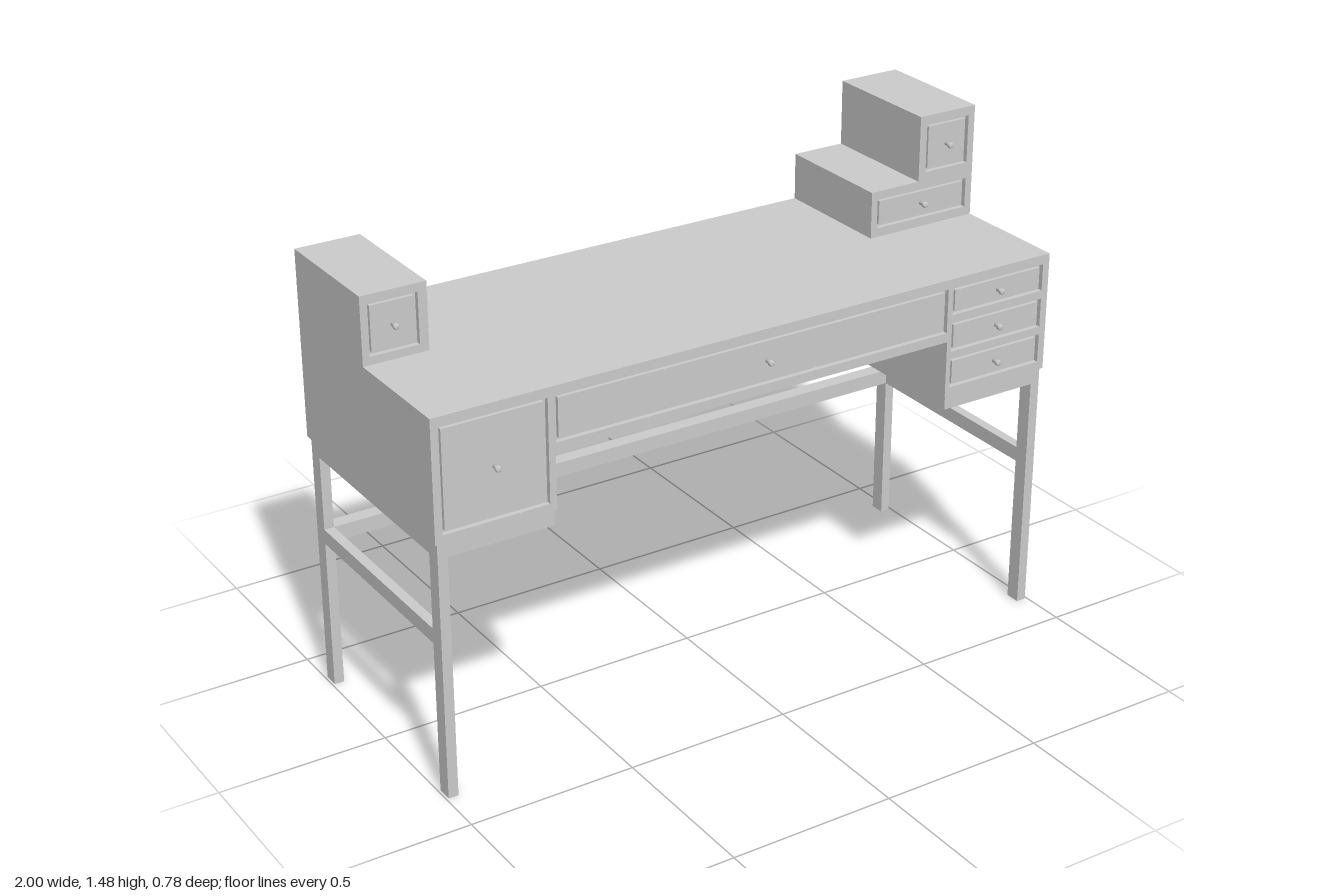
import * as THREE from 'three';

const mat = new THREE.MeshStandardMaterial({ color: 0xcccccc, flatShading: true });
const knobMat = new THREE.MeshStandardMaterial({ color: 0xcccccc });

// Depth limits shared by the parts
const BACK = -0.388, FRONT = 0.365, HUTCH_FRONT = -0.003;
const REVEAL = 0.015, GAP = 0.009, INSET = 0.004;

// Box given by its limits on each axis
function block(name, x0, x1, y0, y1, z0, z1) {
  const mesh = new THREE.Mesh(new THREE.BoxGeometry(x1 - x0, y1 - y0, z1 - z0), mat);
  mesh.position.set((x0 + x1) / 2, (y0 + y1) / 2, (z0 + z1) / 2);
  mesh.name = name;
  return mesh;
}

function rectPoints(x0, x1, y0, y1) {
  return [[x0, y0], [x1, y0], [x1, y1], [x0, y1]].map(([x, y]) => new THREE.Vector2(x, y));
}

// Small turned knob pointing to +z
const knobGeometry = new THREE.LatheGeometry(
  [[0, 0], [0.006, 0], [0.006, 0.012], [0.009, 0.016], [0.009, 0.024], [0.007, 0.027], [0, 0.027]]
    .map(([r, h]) => new THREE.Vector2(r, h)), 16).rotateX(Math.PI / 2);

// Carcass with matching framed panels on front and back; knobs on the front only
function cabinet(name, x0, x1, y0, y1, z1, openings, panelName) {
  const group = new THREE.Group();
  group.name = name;
  group.add(block('carcass', x0, x1, y0, y1, BACK + REVEAL, z1 - REVEAL));

  const shape = new THREE.Shape(rectPoints(x0, x1, y0, y1));
  for (const [a, b, c, d] of openings) shape.holes.push(new THREE.Path(rectPoints(a, b, c, d).reverse()));
  const frameGeometry = new THREE.ExtrudeGeometry(shape, { depth: REVEAL, bevelEnabled: false });
  for (const [side, z] of [['frontFrame', z1 - REVEAL], ['backFrame', BACK]]) {
    const frame = new THREE.Mesh(frameGeometry, mat);
    frame.position.z = z;
    frame.name = side;
    group.add(frame);
  }

  for (const [a, b, c, d, knobX = (a + b) / 2] of openings) {
    const limits = [a + GAP, b - GAP, c + GAP, d - GAP];
    group.add(block(panelName, ...limits, z1 - REVEAL, z1 - INSET));
    group.add(block('backPanel', ...limits, BACK + INSET, BACK + REVEAL));
    const knob = new THREE.Mesh(knobGeometry, knobMat);
    knob.position.set(knobX, (c + d) / 2, z1 - INSET);
    knob.name = 'knob';
    group.add(knob);
  }
  return group;
}

// Leg frame under one pedestal: legs, side stretcher and top ring
function legFrame(side) {
  const group = new THREE.Group();
  group.name = side > 0 ? 'leftLegFrame' : 'rightLegFrame';
  const bar = (name, a, b, ...rest) =>
    group.add(block(name, Math.min(a * side, b * side), Math.max(a * side, b * side), ...rest));
  const outer = 0.993, inner = 0.963, f0 = 0.314, f1 = 0.36, b0 = -0.378, b1 = -0.332;
  bar('frontLeg', inner, outer, 0, 0.775, f0, f1);
  bar('backLeg', inner, outer, 0, 0.775, b0, b1);
  bar('sideStretcher', inner, outer, 0.46, 0.505, b1, f0);
  bar('outerRail', inner, outer, 0.73, 0.775, b1, f0);
  bar('innerRail', 0.645, 0.675, 0.73, 0.775, b0, f1);
  bar('frontRail', 0.675, inner, 0.73, 0.775, f0, f1);
  bar('backRail', 0.675, inner, 0.73, 0.775, b0, b1);
  return group;
}

export function createModel() {
  const desk = new THREE.Group();
  desk.name = 'desk';

  // Base
  desk.add(legFrame(1), legFrame(-1));
  desk.add(block('backStretcher', -0.963, 0.963, 0.46, 0.505, -0.378, -0.332));

  // Desktop, pedestals and wide middle drawer
  desk.add(block('desktop', -1, 1, 1.11, 1.136, BACK, FRONT));
  desk.add(cabinet('doorPedestal', -1, -0.64, 0.775, 1.11, FRONT,
    [[-0.978, -0.66, 0.8, 1.107]], 'door'));
  desk.add(cabinet('drawerPedestal', 0.64, 1, 0.775, 1.11, FRONT,
    [1.025, 0.912, 0.8].map((y, i) => [0.655, 0.978, y, y + (i ? 0.088 : 0.082)]), 'drawer'));
  desk.add(cabinet('middleDrawerBox', -0.64, 0.64, 0.945, 1.11, FRONT,
    [[-0.637, 0.637, 0.973, 1.107, 0.025]], 'wideDrawer'));

  // Small boxes standing on the desktop
  desk.add(cabinet('rightTopBox', -1, -0.805, 1.136, 1.335, HUTCH_FRONT,
    [[-0.98, -0.832, 1.16, 1.31]], 'smallDrawer'));
  desk.add(cabinet('leftLowerBox', 0.636, 1, 1.136, 1.277, HUTCH_FRONT,
    [[0.657, 0.978, 1.163, 1.253]], 'smallDrawer'));
  desk.add(cabinet('leftUpperBox', 0.803, 1, 1.277, 1.475, HUTCH_FRONT,
    [[0.827, 0.978, 1.302, 1.448]], 'smallDrawer'));

  return desk;
}
